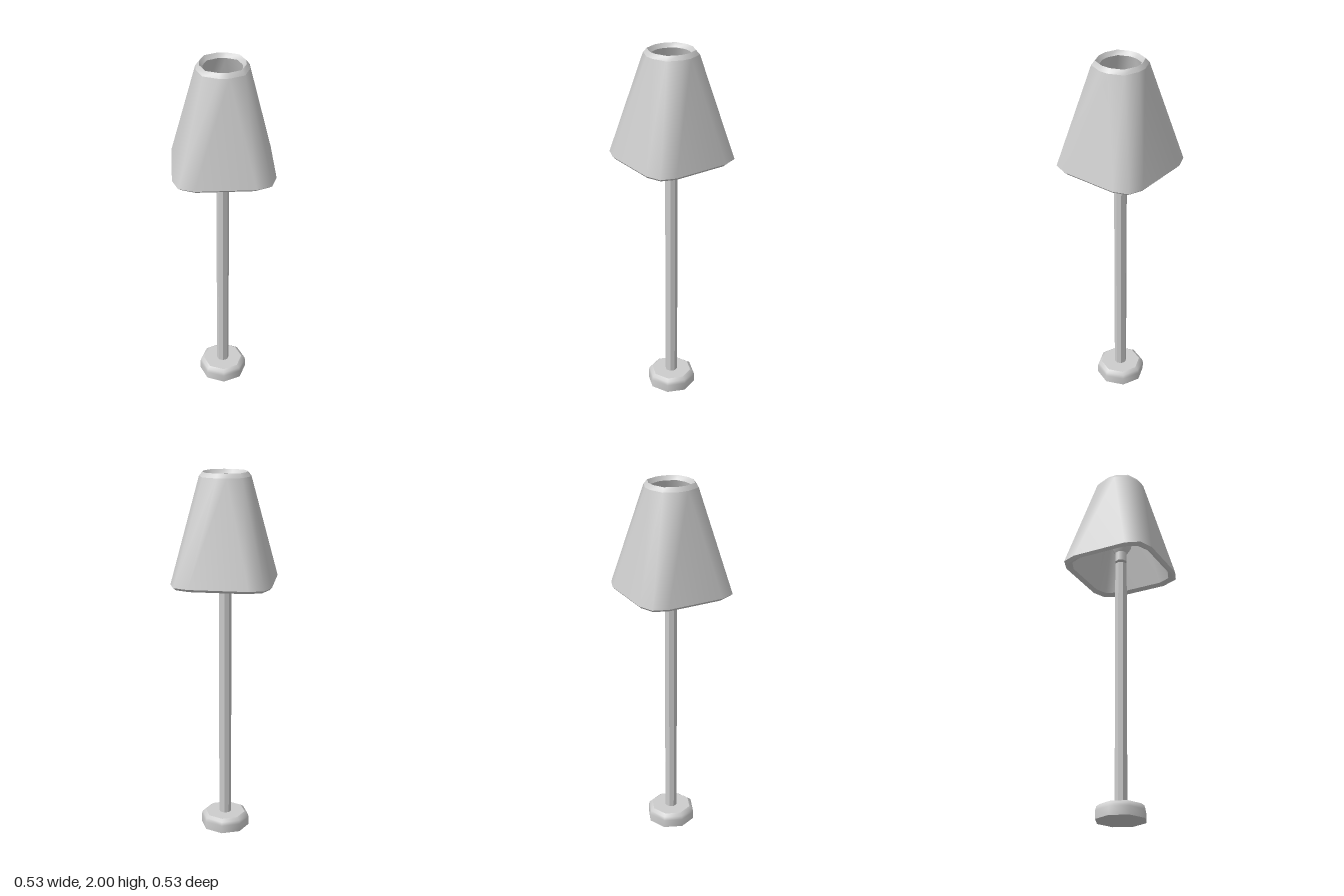
import * as THREE from 'three';

// Twelve-point rounded square: half width a, corner point b, half flat side c
function ring([a, b, c, y]) {
  const points = [];
  for (let q = 0; q < 4; q++) {
    for (let [x, z] of [[a, c === 0 ? 0.001 : -c], [a, c], [b, b]]) {
      for (let i = 0; i < q; i++) [x, z] = [-z, x];
      points.push([x, y, z]);
    }
  }
  return points;
}

// Smooth band between two rings
function band(from, to) {
  const rings = [ring(from), ring(to)];
  const n = rings[0].length;
  const index = [];
  for (let j = 0; j < n; j++) {
    const k = (j + 1) % n;
    index.push(j, j + n, k, j + n, k + n, k);
  }
  const geometry = new THREE.BufferGeometry();
  geometry.setAttribute('position', new THREE.Float32BufferAttribute(rings.flat(2), 3));
  geometry.setIndex(index);
  geometry.computeVertexNormals();
  return geometry;
}

// Eight-sided turned part; every profile in the list is smooth by itself
function turned(name, profiles, material) {
  const group = new THREE.Group();
  group.name = name;
  for (const profile of profiles) {
    const points = profile.map(([r, y]) => new THREE.Vector2(r, y));
    const mesh = new THREE.Mesh(new THREE.LatheGeometry(points, 8), material);
    mesh.name = name + 'Surface';
    group.add(mesh);
  }
  return group;
}

export function createModel() {
  const model = new THREE.Group();
  model.name = 'floorLamp';
  const grey = new THREE.MeshStandardMaterial({ color: 0xcccccc });
  grey.name = 'light grey';

  // Foot with a softened upper edge
  model.add(turned('base', [
    [[0, 0], [0.136, 0]],
    [[0.136, 0], [0.136, 0.045], [0.13, 0.065], [0.112, 0.078]],
    [[0.112, 0.078], [0, 0.078]],
  ], grey));

  // Faceted pole
  const poleGeometry = new THREE.CylinderGeometry(0.034, 0.034, 1.4, 8).toNonIndexed();
  poleGeometry.computeVertexNormals();
  const pole = new THREE.Mesh(poleGeometry, grey);
  pole.name = 'pole';
  pole.position.y = 0.77;
  model.add(pole);

  // Bulb with its neck
  model.add(turned('bulb', [
    [[0, 1.485], [0.034, 1.485]],
    [[0.034, 1.485], [0.034, 1.54]],
    [[0.034, 1.54], [0.058, 1.58], [0.068, 1.62], [0.058, 1.66], [0.034, 1.685], [0, 1.694]],
  ], grey));

  // Hollow shade: square at the bottom, round at the top
  const profile = [
    [0.252, 0.222, 0.148, 1.418],
    [0.265, 0.235, 0.156, 1.432],
    [0.133, 0.102, 0.025, 1.978],
    [0.115, 0.088, 0.024, 2],
    [0.098, 0.075, 0.021, 1.978],
    [0.23, 0.202, 0.135, 1.432],
  ];
  const parts = ['lowerBevel', 'outerWall', 'upperBevel', 'innerBevel', 'innerWall', 'lowerRim'];
  const shade = new THREE.Group();
  shade.name = 'shade';
  parts.forEach((name, i) => {
    const mesh = new THREE.Mesh(band(profile[i], profile[(i + 1) % profile.length]), grey);
    mesh.name = name;
    shade.add(mesh);
  });
  model.add(shade);
  return model;
}
